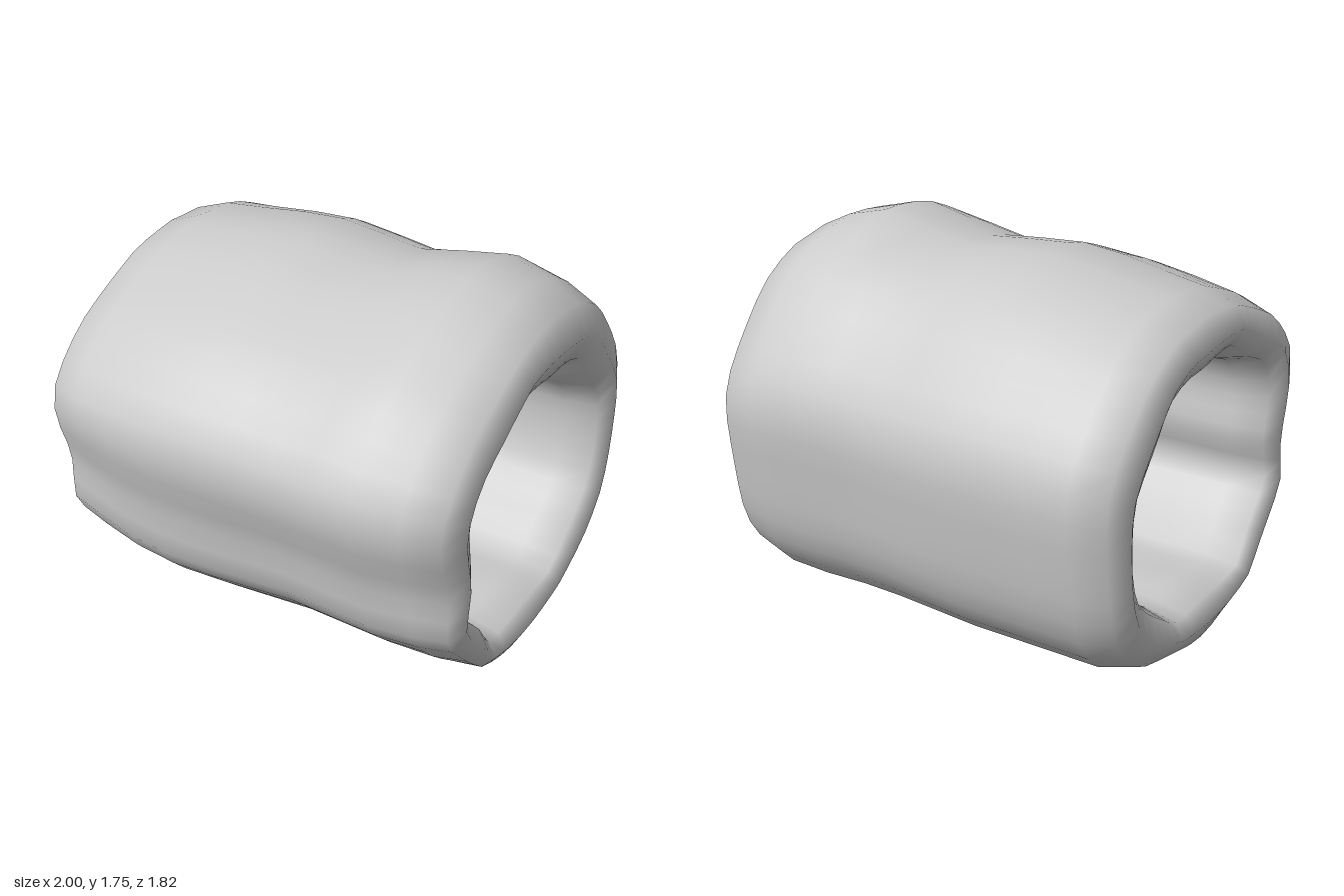
import * as THREE from 'three';

const AXIS_Y = 0.82, SIDES = 48;

// Outline points as [z, y] around the tube axis
const OUTER = [
  [-0.13, 1.75], [0.07, 1.74], [0.23, 1.70], [0.4, 1.63], [0.55, 1.55], [0.67, 1.47], [0.8, 1.34],
  [0.9, 1.2], [0.92, 1.04], [0.88, 0.9], [0.83, 0.76], [0.82, 0.62], [0.81, 0.5], [0.73, 0.37],
  [0.57, 0.22], [0.42, 0.11], [0.28, 0.05], [0.15, 0.015], [0.03, 0], [-0.1, 0.015], [-0.22, 0.05],
  [-0.35, 0.09], [-0.47, 0.11], [-0.6, 0.15], [-0.7, 0.23], [-0.78, 0.34], [-0.83, 0.46],
  [-0.86, 0.6], [-0.89, 0.8], [-0.92, 1.03], [-0.87, 1.2], [-0.78, 1.34], [-0.67, 1.48],
  [-0.54, 1.61], [-0.36, 1.70],
];
const INNER = [
  [0.14, 1.33], [0.03, 1.325], [-0.08, 1.3], [-0.2, 1.3], [-0.32, 1.28], [-0.39, 1.21], [-0.45, 1.12],
  [-0.54, 1.02], [-0.6, 0.96], [-0.62, 0.85], [-0.62, 0.72], [-0.6, 0.6], [-0.55, 0.5], [-0.47, 0.43],
  [-0.37, 0.36], [-0.25, 0.26], [-0.15, 0.26], [-0.04, 0.27], [0.1, 0.265], [0.2, 0.255],
  [0.33, 0.265], [0.42, 0.42], [0.5, 0.5], [0.57, 0.57], [0.55, 0.65], [0.51, 0.75], [0.51, 0.85],
  [0.53, 0.95], [0.515, 1.05], [0.48, 1.14], [0.42, 1.17], [0.31, 1.21], [0.22, 1.28],
];

// Outer surface offsets along x, sampled every 0.2 from -1 to 1
const TOP = [-0.16, -0.14, -0.11, -0.075, -0.055, -0.07, -0.09, -0.04, 0, -0.055, -0.08];
const FRONT = [-0.08, -0.07, -0.02, 0, 0, -0.01, -0.02, -0.015, -0.01, -0.05, -0.06];
const BACK = [0, 0, 0, 0, 0, -0.02, -0.04, -0.045, -0.03, -0.04, -0.04];
const LOW_FRONT = [0, 0, 0, 0, -0.01, -0.02, -0.03, -0.03, -0.03, -0.02, -0.02];

const along = (table, x) => {
  const f = Math.min(Math.max((x + 1) * 5, 0), 9.9999), i = Math.floor(f);
  return THREE.MathUtils.lerp(table[i], table[i + 1], f - i);
};

// Distance from the axis to an outline in direction a (0 = up, turning to +z)
function radiusAt(points, a) {
  const dz = Math.sin(a), dy = Math.cos(a);
  for (let i = 0; i < points.length; i++) {
    const [z0, y0] = points[i], [z1, y1] = points[(i + 1) % points.length];
    const s0 = z0 * dy - (y0 - AXIS_Y) * dz, s1 = z1 * dy - (y1 - AXIS_Y) * dz;
    if (s0 * s1 > 0 || s0 === s1) continue;
    const t = s0 / (s0 - s1);
    const r = THREE.MathUtils.lerp(z0, z1, t) * dz + (THREE.MathUtils.lerp(y0, y1, t) - AXIS_Y) * dy;
    if (r > 0) return r;
  }
  return 0.8;
}

// Wall loop as [x, t]: t = 1 on the outer surface, 0 on the inner one
function wallLoop() {
  const loop = [];
  for (let i = -4; i <= 4; i++) loop.push([i / 5, 1]);
  loop.push([0.95, 0.85], [1, 0.47], [0.95, 0.13]);
  for (let i = 4; i >= -4; i--) loop.push([i / 5, 0]);
  loop.push([-0.95, 0.13], [-1, 0.47], [-0.95, 0.85]);
  return loop;
}

export function createModel() {
  const loop = wallLoop(), positions = [], indices = [];
  const lobe = (v) => Math.max(0, v) ** 2;

  for (const [x, t] of loop) {
    for (let j = 0; j < SIDES; j++) {
      const a = (j / SIDES) * Math.PI * 2;
      const outer = radiusAt(OUTER, a)
        + along(TOP, x) * lobe(Math.cos(a))
        + along(FRONT, x) * lobe(Math.sin(a))
        + along(BACK, x) * lobe(-Math.sin(a))
        + along(LOW_FRONT, x) * lobe(Math.cos(a - 2.2)) ** 3;
      const r = THREE.MathUtils.lerp(radiusAt(INNER, a), outer, t);
      positions.push(x, AXIS_Y + r * Math.cos(a), r * Math.sin(a));
    }
  }

  // Closed grid: around the wall loop and around the axis
  loop.forEach((_, i) => {
    const row = i * SIDES, next = ((i + 1) % loop.length) * SIDES;
    for (let j = 0; j < SIDES; j++) {
      const k = (j + 1) % SIDES;
      indices.push(row + j, row + k, next + j, row + k, next + k, next + j);
    }
  });

  const geometry = new THREE.BufferGeometry();
  geometry.setAttribute('position', new THREE.Float32BufferAttribute(positions, 3));
  geometry.setIndex(indices);
  geometry.computeVertexNormals();

  const tube = new THREE.Mesh(geometry, new THREE.MeshStandardMaterial({ color: 0xcccccc }));
  tube.name = 'hollowTube';
  const group = new THREE.Group();
  group.name = 'unevenTubeBead';
  group.add(tube);
  return group;
}
